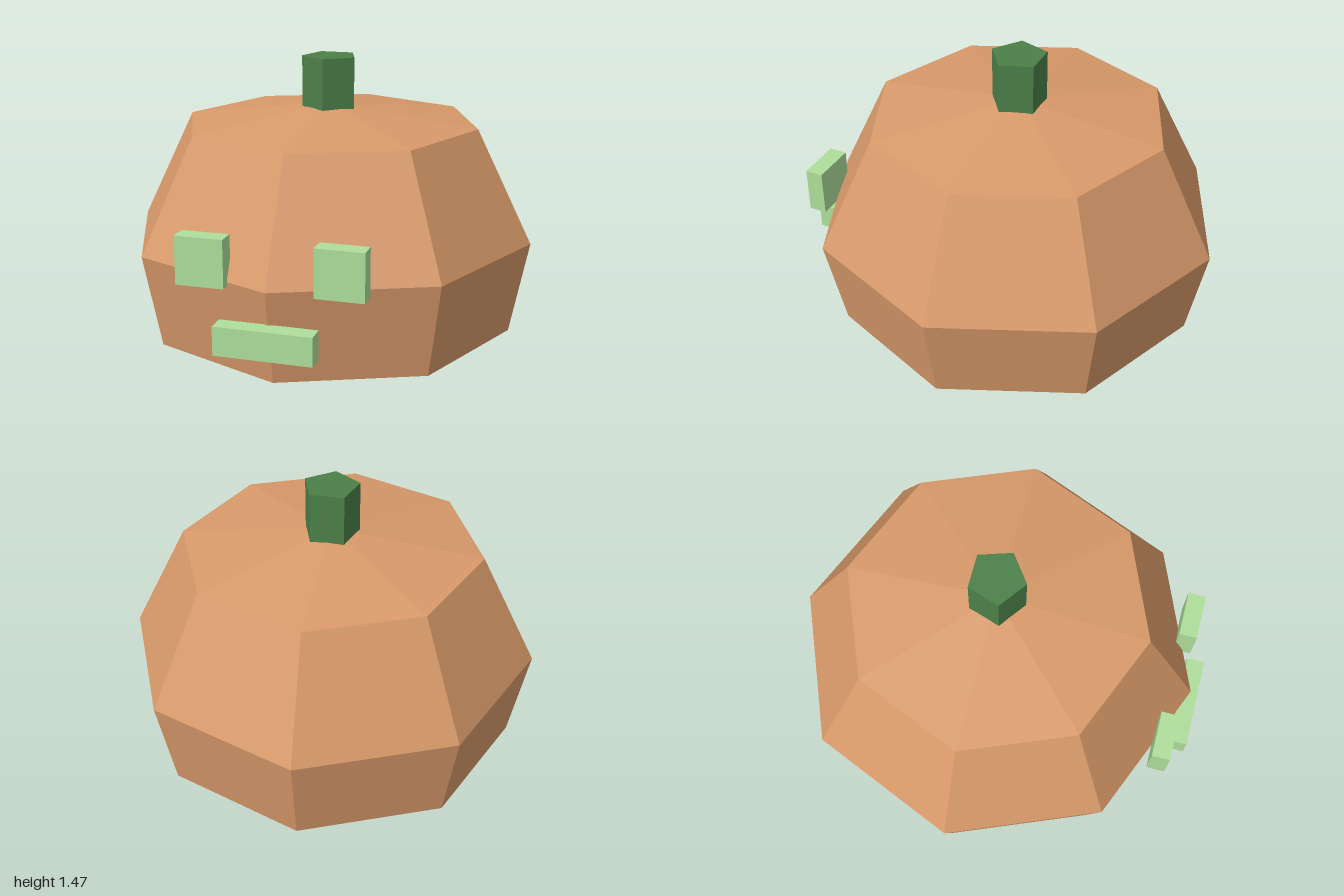
import * as THREE from 'three';

const material = (color) => new THREE.MeshStandardMaterial({ color, flatShading: true });

export function createModel() {
  const model = new THREE.Group();
  model.name = 'pumpkin';
  const shell = material(0xd99a6a);
  const green = material(0x4c8049);
  const glow = material(0xaede9b);
  const centreZ = -0.025;

  const add = (name, geometry, mat, x, y, z) => {
    const mesh = new THREE.Mesh(geometry, mat);
    mesh.name = name;
    mesh.position.set(x, y, z);
    model.add(mesh);
  };

  // Eight-sided body, pointed underneath with a shallow cone on top
  const profile = [[0, 0], [0.89, 0.18], [0.977, 0.623], [0.712, 1.156], [0, 1.245]]
    .map(([r, y]) => new THREE.Vector2(r, y));
  add('body', new THREE.LatheGeometry(profile, 8), shell, 0, 0, centreZ);

  // Five-sided stem, sunk slightly into the top
  add('stem', new THREE.CylinderGeometry(0.134, 0.134, 0.26, 5), green, 0, 1.34, centreZ);

  // Face blocks
  for (const [name, side] of [['leftEye', 1], ['rightEye', -1]]) {
    add(name, new THREE.BoxGeometry(0.22, 0.22, 0.086), glow, side * 0.31, 0.714, 0.867);
  }
  add('mouth', new THREE.BoxGeometry(0.444, 0.132, 0.087), glow, 0, 0.402, 0.956);

  return model;
}
